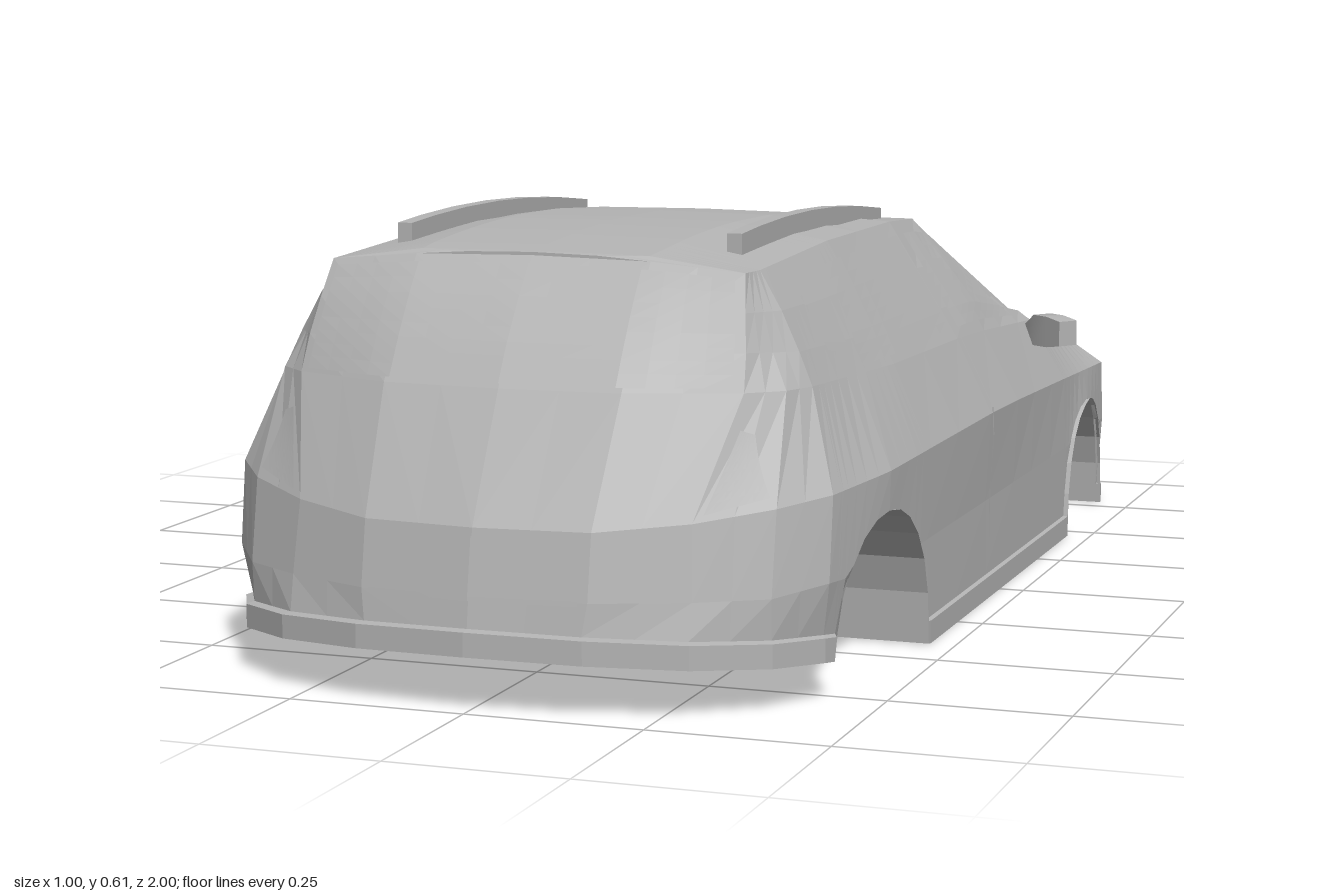
import * as THREE from 'three';

const paint = new THREE.MeshStandardMaterial({ color: 0xb4b4b4 });
paint.name = 'grey paint';

// Rings round the half body, from the tail centre (u = 1.2) along the side
// to the nose centre (u = -1.2). Each point is [u, x, y, z].
const sill = [
  [1.2, 0, .075, 1], [1.1, .16, .072, .985], [1, .29, .066, .94], [.9, .38, .06, .87],
  [.8, .425, .053, .785], [.6, .455, .027, .6], [.4, .463, 0, .4], [-.6, .463, 0, -.6], [-.8, .445, 0, -.8],
  [-.9, .405, 0, -.9], [-1, .33, 0, -.965], [-1.1, .2, 0, -.997], [-1.2, 0, 0, -1]];
const lip = sill.map(([u, x, y, z]) => [u, x, y + .033, z]);
const inset = lip.map(([u, x, y, z]) => [u, x - (x > 0 ? .006 : 0), y + .002, z * .986]);
const flank = [
  [1.2, 0, .15, .98], [1.1, .16, .15, .965], [1, .285, .15, .915], [.9, .375, .15, .86],
  [.8, .43, .16, .785], [.6, .455, .15, .6], [-.6, .458, .15, -.6], [-.8, .445, .15, -.8],
  [-.9, .4, .12, -.89], [-1, .31, .1, -.955], [-1.1, .19, .1, -.978], [-1.2, 0, .1, -.982]];
const shoulder = [
  [1.2, 0, .24, .965], [1.1, .16, .24, .95], [1, .28, .25, .9], [.9, .375, .265, .84],
  [.8, .43, .275, .77], [.6, .457, .28, .6], [0, .465, .285, 0], [-.4, .458, .27, -.4],
  [-.8, .442, .25, -.8], [-.9, .395, .2, -.88], [-1, .3, .18, -.94], [-1.1, .18, .17, -.965], [-1.2, 0, .17, -.973]];
const belt = [
  [1.2, 0, .41, .875], [1.1, .17, .41, .865], [1, .32, .41, .81], [.9, .365, .41, .77],
  [.8, .385, .41, .72], [.4, .405, .4, .4], [0, .41, .395, 0], [-.45, .403, .368, -.42],
  [-.8, .385, .293, -.78], [-.9, .35, .265, -.85], [-1, .27, .26, -.89], [-1.1, .15, .26, -.908], [-1.2, 0, .26, -.914]];
// Lower glass at the sides, mid bonnet at the nose
const lowGlass = [
  [1.2, 0, .46, .845], [1.1, .17, .46, .835], [1, .316, .46, .79], [.8, .365, .455, .715],
  [.4, .38, .445, .4], [0, .383, .44, 0], [-.1, .383, .437, -.09], [-.45, .385, .384, -.41],
  [-.8, .28, .347, -.65], [-.9, .24, .338, -.72], [-1, .18, .335, -.75], [-1.2, 0, .334, -.77]];
// Upper glass at the sides, windscreen base at the nose
const highGlass = [
  [1.2, 0, .515, .805], [1.1, .17, .513, .8], [1, .308, .51, .77], [.8, .338, .508, .708],
  [.4, .345, .505, .4], [0, .345, .5, 0], [-.1, .345, .495, -.085], [-.45, .372, .387, -.4],
  [-.8, .24, .387, -.455], [-1.2, 0, .385, -.465]];
const roofEdge = [
  [1.2, 0, .575, .755], [1.1, .17, .572, .755], [1, .3, .56, .745], [.8, .305, .56, .7],
  [.4, .305, .572, .4], [0, .3, .57, 0], [-.1, .295, .562, -.08], [-.45, .285, .548, -.14],
  [-.8, .2, .552, -.145], [-1.2, 0, .555, -.145]];
const rings = [sill, lip, inset, flank, shoulder, belt, lowGlass, highGlass, roofEdge];
const wheels = [{ at: .59, r: .18, h: .225 }, { at: -.625, r: .165, h: .21 }];

const roofY = z => .597 - .14 * (z - .4) ** 2;

function archY(u) {
  let y = 0;
  for (const w of wheels) {
    const t = (u - w.at) / w.r;
    if (Math.abs(t) < 1) y = Math.max(y, w.h * (1 - t * t) ** .4);
  }
  return y;
}

function along(ring, u) {
  let i = 0;
  while (i < ring.length - 2 && u < ring[i + 1][0]) i++;
  const a = ring[i], b = ring[i + 1], t = (a[0] - u) / (a[0] - b[0]);
  return new THREE.Vector3(...[1, 2, 3].map(k => a[k] + (b[k] - a[k]) * t));
}

// Point of the outer skin: u runs round the car, v climbs through the rings
function skin(u, v) {
  const at = k => {
    const p = along(rings[k], u);
    if (k < 4) p.y = Math.max(p.y, archY(u));
    return p;
  };
  const k = Math.min(Math.floor(v), rings.length - 2);
  return at(k).lerp(at(k + 1), v - k);
}

// Faceted geometry from rows of points, mirrored to both sides
function mirroredGrid(rows) {
  const pos = [];
  const tri = (a, b, c) => {
    const area = b.clone().sub(a).cross(c.clone().sub(a)).length();
    if (area < 1e-8) return;
    for (const p of [a, b, c]) pos.push(p.x, p.y, p.z);
    for (const p of [a, c, b]) pos.push(-p.x, p.y, p.z);
  };
  for (let i = 0; i < rows.length - 1; i++) {
    for (let j = 0; j < rows[i].length - 1; j++) {
      const a = rows[i][j], b = rows[i][j + 1], c = rows[i + 1][j + 1], d = rows[i + 1][j];
      tri(a, b, c);
      tri(a, c, d);
    }
  }
  const g = new THREE.BufferGeometry();
  g.setAttribute('position', new THREE.Float32BufferAttribute(pos, 3));
  g.computeVertexNormals();
  return g;
}

function bodyGeometry() {
  const us = [.4, .25, .07, -.1, -.22, -.35, -.45];
  for (let i = 0; i <= 8; i++) us.push(1.2 - i * .05, -1.2 + i * .05);
  for (const w of wheels)
    for (let i = 0; i <= 12; i++) us.push(w.at + w.r * Math.cos(i * Math.PI / 12));
  us.sort((a, b) => b - a);
  const columns = us.map(u => {
    const low = along(sill, u), top = along(roofEdge, u);
    const inner = Math.min(low.x, .32);
    const V = (x, y, z) => new THREE.Vector3(x, y, z);
    return [
      // floor and wheel well
      V(0, low.y, low.z), V(inner, low.y, low.z), V(inner, Math.max(low.y, archY(u)), low.z),
      ...rings.map((_, k) => skin(u, k)),
      // roof
      V(top.x * .55, roofY(top.z) - .002, top.z), V(0, roofY(top.z), top.z)];
  });
  return mirroredGrid(columns[0].map((_, k) => columns.map(c => c[k])));
}

// Thin plate lying on the skin; corners run low rear, low front, high front, high rear
function panelGeometry([a, b, c, d], n = 8) {
  const mix = (p, q, t) => p + (q - p) * t;
  const rows = [];
  for (let i = 0; i <= n; i++) {
    const row = [];
    for (let j = 0; j <= n; j++) {
      const s = j / n, t = i / n, e = .01;
      const u = mix(mix(a[0], b[0], s), mix(d[0], c[0], s), t);
      const v = mix(mix(a[1], b[1], s), mix(d[1], c[1], s), t);
      const du = skin(u - e, v).sub(skin(u + e, v)), dv = skin(u, v + e).sub(skin(u, v - e));
      const p = skin(u, v), x = p.x;
      p.addScaledVector(du.cross(dv).normalize(), .004);
      if (x < 1e-6) p.x = 0;
      row.push(p);
    }
    rows.push(row);
  }
  return mirroredGrid(rows);
}

export function createModel() {
  const car = new THREE.Group();
  const add = (name, geometry) => {
    const m = new THREE.Mesh(geometry, paint);
    m.name = name;
    car.add(m);
    return m;
  };
  add('body', bodyGeometry());

  // Glass, lamps and trim
  const panels = {
    rearGlass: [[1.2, 5.1], [1.01, 5.1], [1.01, 7.8], [1.2, 7.8]],
    windscreen: [[-.52, 7.06], [-1.2, 7.06], [-1.2, 7.94], [-.52, 7.94]],
    frontSideGlass: [[.05, 5.3], [-.33, 5.4], [-.2, 7.6], [.05, 7.7]],
    rearSideGlass: [[.56, 5.2], [.09, 5.3], [.09, 7.7], [.5, 7.6]],
    quarterGlass: [[.68, 5.6], [.6, 5.4], [.55, 7.5], [.7, 7.4]],
    tailLamps: [[.99, 4.05], [.91, 4.1], [.95, 4.65], [.98, 4.7]],
    headLamps: [[-.87, 3.9], [-1.01, 3.8], [-1.0, 4.5], [-.86, 4.55]],
    grille: [[-1.02, 2.3], [-1.2, 2.3], [-1.2, 3.4], [-.98, 3.4]],
    numberPlate: [[1.2, 2.9], [1.108, 2.9], [1.108, 3.88], [1.2, 3.88]],
    doorSeam: [[.065, 2.5], [.06, 2.5], [.06, 5], [.065, 5]],
  };
  for (const [name, corners] of Object.entries(panels)) add(name, panelGeometry(corners));

  // Roof rails follow the roof curve
  const zs = [-.04, .08, .2, .32, .44, .55, .63];
  const railShape = new THREE.Shape([
    ...zs.map(z => new THREE.Vector2(z, roofY(z) - .026)),
    ...[...zs].reverse().map(z => new THREE.Vector2(z, roofY(z) + .011))]);
  const rail = new THREE.ExtrudeGeometry(railShape, { depth: .022, bevelEnabled: false });
  rail.rotateY(-Math.PI / 2).translate(.011, 0, 0);

  // Door mirrors, slimmer at the inner end
  const mirror = new THREE.BoxGeometry(.1, .05, .036, 3, 1, 1);
  const p = mirror.attributes.position;
  for (let i = 0; i < p.count; i++) {
    if (p.getX(i) < -.04) p.setXYZ(i, p.getX(i), p.getY(i) * .5 - .008, p.getZ(i) * .6);
    if (p.getX(i) > .04) p.setY(i, p.getY(i) * .8);
  }
  mirror.computeVertexNormals();

  for (const side of [1, -1]) {
    const label = side > 0 ? 'left' : 'right';
    add(label + 'RoofRail', rail).position.x = side * .245;
    const m = add(label + 'Mirror', mirror);
    m.position.set(side * .45, .36, -.355);
    m.rotation.y = side > 0 ? -.66 : Math.PI + .66;
  }
  return car;
}
